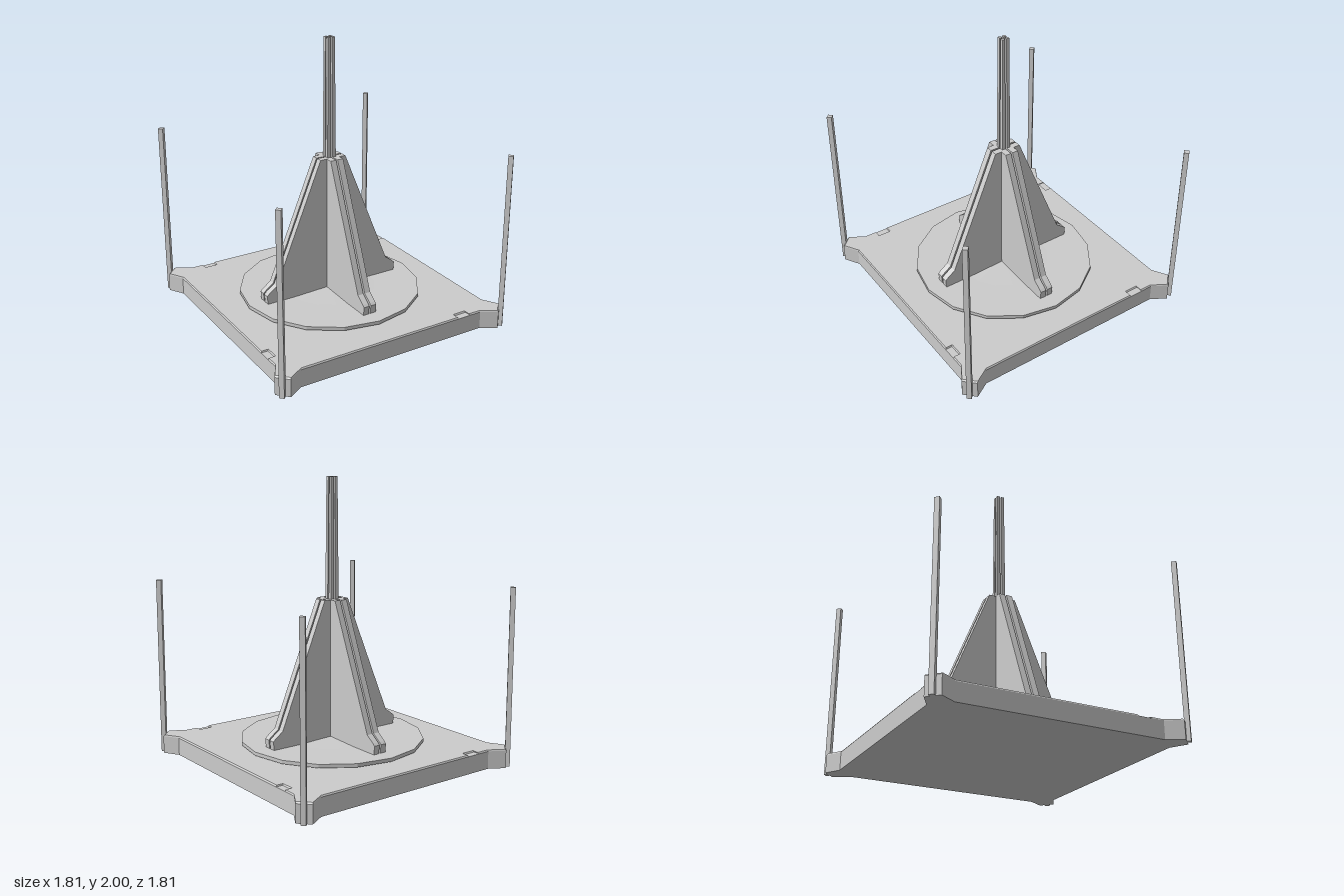
import * as THREE from 'three';

const material = new THREE.MeshStandardMaterial({ color: 0xcccccc, flatShading: true });

function add(parent, name, geometry) {
  const mesh = new THREE.Mesh(geometry, material);
  mesh.name = name;
  parent.add(mesh);
  return mesh;
}

// Square outline with flared corners; each side may carry one small notch
function baseShape(notched) {
  const side = [[-0.83, -0.905], [-0.72, -0.84]];
  if (notched) side.push([0.53, -0.84], [0.53, -0.79], [0.63, -0.79], [0.63, -0.84]);
  side.push([0.72, -0.84], [0.83, -0.905]);
  const points = [];
  for (let i = 0; i < 4; i++) {
    for (const [x, y] of side) {
      points.push(new THREE.Vector2(x, y).rotateAround(new THREE.Vector2(), i * Math.PI / 2));
    }
  }
  return new THREE.Shape(points);
}

function slab(shape, y, height) {
  return new THREE.ExtrudeGeometry(shape, { depth: height, bevelEnabled: false })
    .rotateX(-Math.PI / 2).translate(0, y, 0);
}

// Half of a fin: side profile starting at the given inner radius
function finHalf(inner, thickness) {
  const profile = [[inner, 0.17], [0.53, 0.17], [0.535, 0.235], [0.52, 0.25],
    [0.458, 0.295], [0.1, 1.16], [inner, 1.16]];
  const shape = new THREE.Shape(profile.map(([x, y]) => new THREE.Vector2(x, y)));
  return new THREE.ExtrudeGeometry(shape, { depth: thickness, bevelEnabled: false });
}

export function createModel() {
  const model = new THREE.Group();
  model.name = 'launchPad';

  // Base slab with a thin notched cap whose top edge is chamfered
  add(model, 'base', slab(baseShape(false), 0, 0.126));
  const cap = slab(baseShape(true), 0.126, 0.01);
  const p = cap.attributes.position;
  for (let i = 0; i < p.count; i++) {
    if (p.getY(i) > 0.131) p.setXYZ(i, p.getX(i) * 0.992, p.getY(i), p.getZ(i) * 0.992);
  }
  cap.computeVertexNormals();
  add(model, 'baseCap', cap);

  // Sixteen-sided turntable, with a shallow raised centre
  add(model, 'turntable', new THREE.CylinderGeometry(0.65, 0.65, 0.025, 16).translate(0, 0.1615, 0));
  add(model, 'turntableCentre', new THREE.CylinderGeometry(0.05, 0.33, 0.01, 16).translate(0, 0.179, 0));

  const gap = 0.006, outer = 0.05;
  for (let i = 0; i < 4; i++) {
    const quarter = new THREE.Group();
    quarter.name = 'quarter' + (i + 1);
    quarter.rotation.y = i * Math.PI / 2;
    model.add(quarter);

    // Each quarter of the tower is an L of two fin halves, split by a narrow slot
    add(quarter, 'finSide', finHalf(gap, outer - gap).translate(0, 0, gap));
    add(quarter, 'finFront', finHalf(outer, outer - gap).rotateY(-Math.PI / 2).translate(outer, 0, 0));

    // Slim tapering mast rod
    const rod = new THREE.BoxGeometry(0.027, 0.86, 0.027).translate(0.0195, 1.57, 0.0195);
    const r = rod.attributes.position;
    for (let j = 0; j < r.count; j++) {
      if (r.getY(j) > 1.5) {
        r.setX(j, r.getX(j) > 0.02 ? 0.027 : gap);
        r.setZ(j, r.getZ(j) > 0.02 ? 0.027 : gap);
      }
    }
    rod.computeVertexNormals();
    add(quarter, 'mastRod', rod);

    // Corner post, turned to face the diagonal
    add(quarter, 'cornerPost', new THREE.BoxGeometry(0.035, 1.265, 0.035)
      .rotateY(Math.PI / 4).translate(0.875, 0.6325, 0.875));
  }
  return model;
}
